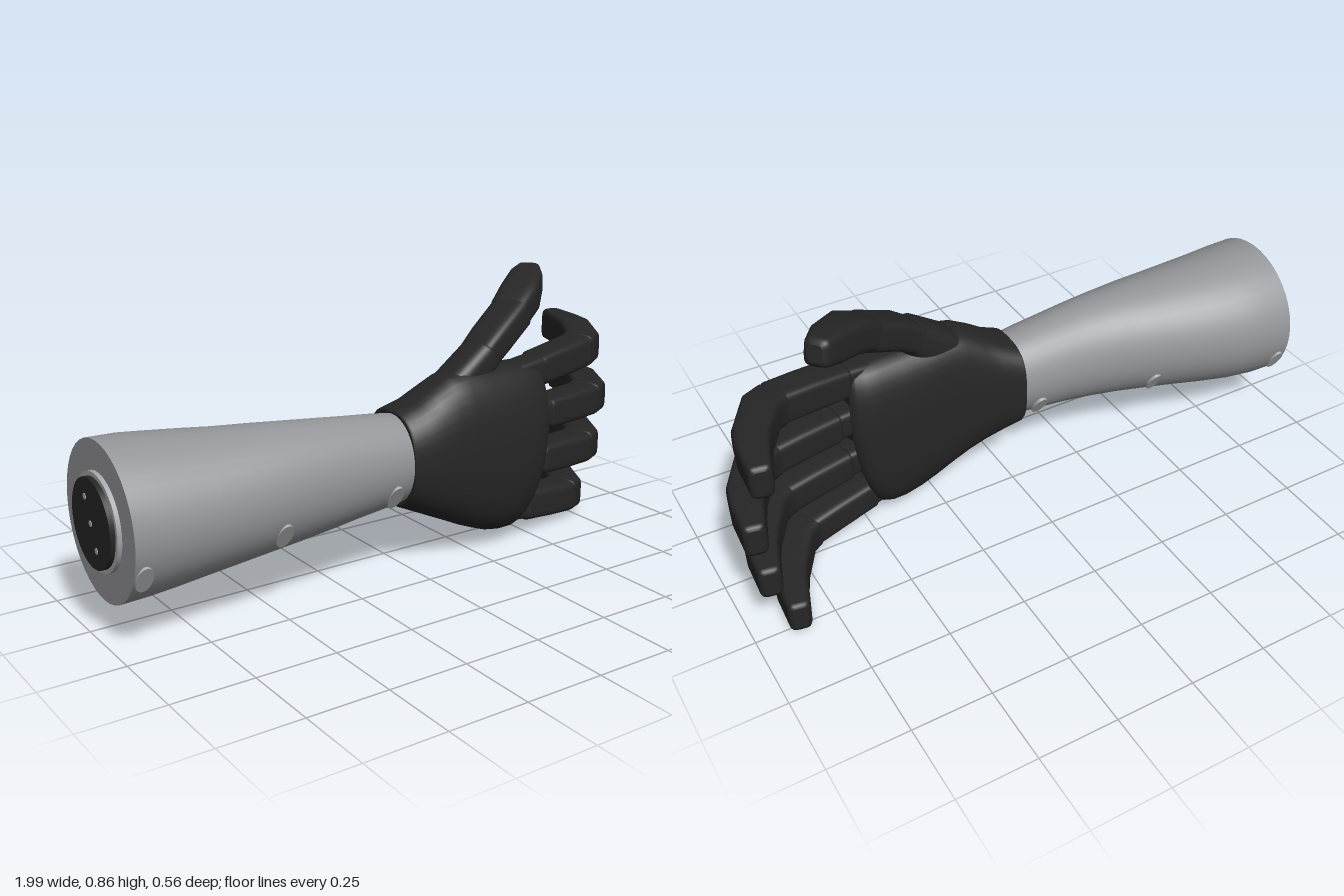
import * as THREE from 'three';

const shellMat = new THREE.MeshStandardMaterial({ color: 0x949598 });
shellMat.name = 'grey shell';
const gloveMat = new THREE.MeshStandardMaterial({ color: 0x262626 });
gloveMat.name = 'black rubber';
const rimMat = new THREE.MeshStandardMaterial({ color: 0xa6a7a9 });
rimMat.name = 'light grey trim';

const SEG = 40;
const V = (x, y, z) => new THREE.Vector3(x, y, z);
const spow = (v, e) => Math.sign(v) * Math.pow(Math.abs(v), e);

// Skin a list of closed rings, with flat caps at both ends
function loft(rings) {
  const pos = [], idx = [], n = rings[0].length;
  rings.forEach(r => r.forEach(p => pos.push(p.x, p.y, p.z)));
  for (let i = 0; i < rings.length - 1; i++) {
    for (let j = 0; j < n; j++) {
      const k = (j + 1) % n, a = i * n + j, b = i * n + k, c = b + n, d = a + n;
      idx.push(a, b, c, a, c, d);
    }
  }
  [rings[0], rings[rings.length - 1]].forEach((r, end) => {
    const base = pos.length / 3;
    const mid = r.reduce((s, p) => s.add(p), V(0, 0, 0)).divideScalar(n);
    [mid, ...r].forEach(p => pos.push(p.x, p.y, p.z));
    for (let j = 0; j < n; j++) {
      const a = base + 1 + j, b = base + 1 + (j + 1) % n;
      idx.push(base, end ? a : b, end ? b : a);
    }
  });
  const g = new THREE.BufferGeometry();
  g.setAttribute('position', new THREE.Float32BufferAttribute(pos, 3));
  g.setIndex(idx);
  g.computeVertexNormals();
  return g;
}

// Cross-section at x: [x, bottom, top, back, front]; mid places the widest point in depth
function bodyRing([x, y0, y1, z0, z1], mid, nFront, nBack) {
  const zc = z0 + (z1 - z0) * mid, pts = [];
  for (let j = 0; j < SEG; j++) {
    const t = j / SEG * Math.PI * 2, c = Math.cos(t), s = Math.sin(t);
    const e = 2 / (s > 0 ? nFront : nBack);
    const depth = s > 0 ? z1 - zc : zc - z0;
    pts.push(V(x, (y0 + y1) / 2 + (y1 - y0) / 2 * spow(c, e), zc + depth * spow(s, e)));
  }
  return pts;
}

// Rounded-box limb along a path; stations are [x, y, z, halfWidth, halfDepth]
function limb(stations, power = 5) {
  const c = stations.map(s => V(s[0], s[1], s[2]));
  const last = c.length - 1;
  return loft(stations.map((s, i) => {
    const t = V(0, 0, 0);
    if (i > 0) t.add(c[i].clone().sub(c[i - 1]).normalize());
    if (i < last) t.add(c[i + 1].clone().sub(c[i]).normalize());
    t.normalize();
    const u = V(0, 1, 0).addScaledVector(t, -t.y).normalize();
    const v = t.clone().cross(u);
    return Array.from({ length: SEG }, (_, j) => {
      const a = j / SEG * Math.PI * 2;
      return c[i].clone()
        .addScaledVector(u, s[3] * spow(Math.cos(a), 2 / power))
        .addScaledVector(v, s[4] * spow(Math.sin(a), 2 / power));
    });
  }));
}

// Add softened ends to a limb by short shrinking stations
function rounded(st, r = 0.014) {
  const soften = (a, b) => {
    const d = V(b[0] - a[0], b[1] - a[1], b[2] - a[2]).normalize();
    const at = (k, inset) => [a[0] + d.x * k, a[1] + d.y * k, a[2] + d.z * k, a[3] - inset, a[4] - inset];
    return [at(0, r), at(r * 0.3, r * 0.3), at(r, 0)];
  };
  const n = st.length;
  return [...soften(st[0], st[1]), ...st.slice(1, n - 1), ...soften(st[n - 1], st[n - 2]).reverse()];
}

export function createModel() {
  const model = new THREE.Group();
  const add = (name, geo, mat, parent = model) => {
    const m = new THREE.Mesh(geo, mat);
    m.name = name;
    parent.add(m);
    return m;
  };

  // Tapered forearm shell
  const arm = [
    [-0.97, 0.11, 0.575, -0.182, 0.28], [-0.88, 0.114, 0.573, -0.182, 0.279],
    [-0.8, 0.122, 0.566, -0.172, 0.276], [-0.7, 0.136, 0.558, -0.15, 0.272],
    [-0.6, 0.15, 0.55, -0.122, 0.267], [-0.5, 0.163, 0.545, -0.095, 0.26],
    [-0.4, 0.175, 0.538, -0.068, 0.25], [-0.3, 0.187, 0.53, -0.048, 0.24],
    [-0.2, 0.2, 0.52, -0.036, 0.23], [-0.1, 0.211, 0.51, -0.03, 0.222],
    [-0.025, 0.22, 0.5, -0.025, 0.215],
  ];
  add('forearm', loft(arm.map(s => bodyRing(s, 0.5, 2, 2))), shellMat);

  // Oval screw recesses along the lower front and lower back
  [[-0.94, 0.24, 0], [-0.5, 0.255, 5], [-0.095, 0.275, 9]].forEach(([x, y, k]) => {
    const [, y0, y1, z0, z1] = arm[k];
    const ry = (y1 - y0) / 2, rz = (z1 - z0) / 2;
    const sin = (y - (y0 + y1) / 2) / ry, cos = Math.sqrt(1 - sin * sin);
    for (const side of [1, -1]) {
      const geo = new THREE.CylinderGeometry(0.026, 0.026, 0.009, 28).scale(1, 1, 1.7);
      const m = add('screwRecess', geo, rimMat);
      m.position.set(x, y, (z0 + z1) / 2 + side * (rz * cos - 0.001));
      m.rotation.x = Math.atan2(side * cos / rz, sin / ry);
    }
  });

  // Mounting plate on the elbow end
  const mount = new THREE.Group();
  mount.name = 'elbowMount';
  mount.position.set(-0.97, 0.345, 0.055);
  mount.rotation.z = Math.PI / 2;
  model.add(mount);
  const disc = (name, r, h, y, mat) => {
    const m = add(name, new THREE.CylinderGeometry(r, r, h, 48), mat, mount);
    m.position.y = y;
    return m;
  };
  disc('mountRim', 0.143, 0.014, 0.006, rimMat);
  disc('mountDisc', 0.13, 0.026, 0.015, gloveMat);
  [[0.07, -0.03], [0, 0], [-0.07, 0.03]].forEach(([a, b]) => {
    const m = disc('mountScrew', 0.009, 0.004, 0.028, rimMat);
    m.position.x = a;
    m.position.z = b;
  });

  // Palm, with a finger edge that slants back toward the little finger
  const palm = [
    [-0.035, 0.213, 0.507, -0.03, 0.219], [-0.03, 0.205, 0.513, -0.03, 0.223],
    [0.03, 0.178, 0.537, -0.015, 0.226], [0.08, 0.155, 0.568, -0.005, 0.229],
    [0.14, 0.128, 0.6, 0, 0.231], [0.2, 0.103, 0.613, 0, 0.232],
    [0.28, 0.078, 0.608, -0.005, 0.232], [0.36, 0.058, 0.604, -0.008, 0.229],
    [0.44, 0.046, 0.602, -0.01, 0.22], [0.49, 0.044, 0.6, -0.006, 0.208],
    [0.52, 0.052, 0.594, 0.005, 0.19], [0.532, 0.065, 0.584, 0.018, 0.175],
    [0.537, 0.08, 0.57, 0.03, 0.16],
  ];
  const palmRings = palm.map(s => bodyRing(s, 0.5, 2.3, 3));
  palmRings.flat().forEach(p => {
    p.x -= THREE.MathUtils.smoothstep(p.x, 0.1, 0.5) * 0.6 * (p.y - 0.42) ** 2;
  });
  add('palm', loft(palmRings), gloveMat);

  // Four curled fingers: [name, x shift, base height, tip height]
  [
    ['indexFinger', -0.04, 0.553, 0.596], ['middleFinger', 0, 0.407, 0.406],
    ['ringFinger', -0.023, 0.255, 0.233], ['littleFinger', -0.093, 0.112, 0.058],
  ].forEach(([name, dx, yBase, yTip]) => {
    const finger = new THREE.Group();
    finger.name = name;
    model.add(finger);
    const at = (x, z, w, d) => [x + dx, yBase + (yTip - yBase) * (x - 0.5) / 0.45, z, w, d];
    add('knuckle', limb(rounded([at(0.46, 0.105, 0.046, 0.05), at(0.6, 0.088, 0.046, 0.05)])), gloveMat, finger);
    add('lowerSegment', limb(rounded([
      at(0.565, 0.093, 0.051, 0.055), at(0.7, 0.069, 0.053, 0.056), at(0.815, 0.045, 0.053, 0.056),
    ])), gloveMat, finger);
    add('upperSegment', limb(rounded([
      at(0.79, 0.05, 0.055, 0.057), at(0.845, 0.02, 0.055, 0.059), at(0.915, -0.095, 0.056, 0.055),
      at(0.935, -0.16, 0.055, 0.048), at(0.958, -0.277, 0.054, 0.034),
    ])), gloveMat, finger);
  });

  // Thumb rising from the palm edge and bending backward
  const thumb = new THREE.Group();
  thumb.name = 'thumb';
  model.add(thumb);
  add('thumbBase', limb(rounded([
    [0.1, 0.475, 0.1, 0.06, 0.06], [0.2, 0.555, 0.1, 0.062, 0.068], [0.32, 0.648, 0.09, 0.054, 0.064],
  ]), 3), gloveMat, thumb);
  add('thumbLowerSegment', limb(rounded([
    [0.27, 0.61, 0.095, 0.047, 0.06], [0.36, 0.677, 0.076, 0.05, 0.064], [0.49, 0.748, 0.03, 0.052, 0.064],
  ]), 4), gloveMat, thumb);
  add('thumbUpperSegment', limb(rounded([
    [0.46, 0.735, 0.04, 0.05, 0.064], [0.54, 0.78, 0.0, 0.056, 0.066],
    [0.62, 0.81, -0.064, 0.054, 0.056], [0.677, 0.828, -0.115, 0.044, 0.04],
  ], 0.018), 4), gloveMat, thumb);

  return model;
}
